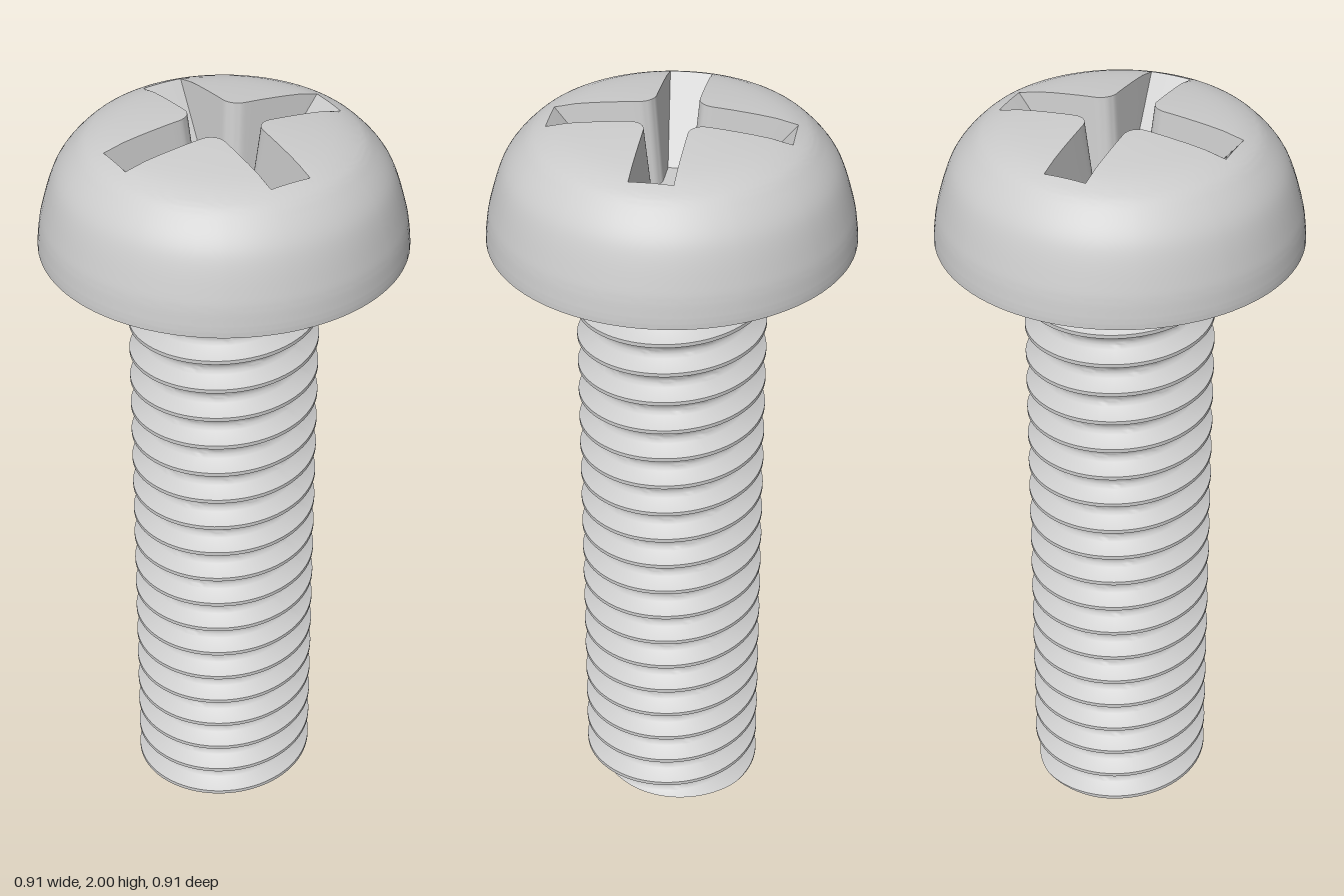
import * as THREE from 'three';
import { toCreasedNormals } from 'three/addons/utils/BufferGeometryUtils.js';

const HEAD_Y = 1.675;   // underside of the head
const MAJOR = 0.24;     // thread crest radius
const PITCH = 0.084;
const V = (x, y, z) => new THREE.Vector3(x, y, z);

// Joins successive rows of points into a creased surface
function loft(rows, crease) {
  const out = [];
  const area = new THREE.Triangle();
  const tri = (a, b, c) => {
    if (area.set(a, b, c).getArea() > 1e-9) for (const p of [a, b, c]) out.push(p.x, p.y, p.z);
  };
  for (let j = 0; j < rows.length - 1; j++) {
    const a = rows[j], b = rows[j + 1];
    for (let i = 0; i < a.length - 1; i++) {
      tri(a[i], a[i + 1], b[i]);
      tri(b[i], a[i + 1], b[i + 1]);
    }
  }
  const g = new THREE.BufferGeometry();
  g.setAttribute('position', new THREE.Float32BufferAttribute(out, 3));
  return toCreasedNormals(g, crease);
}

// Closed cross outline: arm length, arm half-width, filleted inner corners
function crossOutline(end, w) {
  const fillet = 0.04, c = w + fillet, half = [];
  for (let i = 0; i <= 3; i++) half.push([end, w * i / 3]);
  for (let i = 1; i <= 6; i++) half.push([end * Math.pow(c / end, i / 6), w]);
  for (let i = 1; i <= 4; i++) {
    const t = i / 4 * Math.PI / 4;
    half.push([c - fillet * Math.sin(t), c - fillet * Math.cos(t)]);
  }
  const quarter = [...half.slice(1, -1).reverse().map(([x, z]) => [x, -z]), ...half];
  const pts = [];
  for (let q = 0; q < 4; q++) {
    const cs = Math.round(Math.cos(q * Math.PI / 2)), sn = Math.round(Math.sin(q * Math.PI / 2));
    for (const [x, z] of quarter) pts.push([x * cs - z * sn, x * sn + z * cs]);
  }
  pts.push(pts[0]);
  return pts;
}

// Domed pan head with a tapered cross recess
function headGeometry() {
  const profile = new THREE.SplineCurve([
    [0, 2], [0.08, 1.999], [0.16, 1.992], [0.25, 1.98], [0.307, 1.965], [0.355, 1.936],
    [0.41, 1.868], [0.444, 1.768], [0.455, 1.705], [0.457, HEAD_Y],
  ].map(p => new THREE.Vector2(...p))).getPoints(72);
  const domeY = r => {
    const i = Math.max(1, profile.findIndex(p => p.x >= r));
    const a = profile[i - 1], b = profile[i];
    return a.y + (b.y - a.y) * (r - a.x) / (b.x - a.x);
  };
  const rim = crossOutline(0.298, 0.053);
  const floor = crossOutline(0.14, 0.033);
  const floorY = 1.78;
  const rows = [
    rim.map(() => V(0, floorY, 0)),
    floor.map(([x, z]) => V(x, floorY, z)),
  ];
  // crown, from the recess rim out to a circle
  const R = 0.325, steps = 8;
  for (let s = 0; s <= steps; s++) {
    rows.push(rim.map(([x, z]) => {
      const r0 = Math.hypot(x, z), r = r0 + (R - r0) * s / steps;
      return V(x / r0 * r, domeY(r), z / r0 * r);
    }));
  }
  // rounded shoulder, side and flat underside
  const circle = (r, y) => rim.map(([x, z]) => {
    const l = Math.hypot(x, z);
    return V(x / l * r, y, z / l * r);
  });
  const shoulder = profile.slice(profile.findIndex(p => p.x > R + 0.003));
  for (const p of shoulder) rows.push(circle(p.x, p.y));
  rows.push(circle(0, HEAD_Y));
  return loft(rows, 0.5);
}

// Shank with a helical groove that runs out just below the head
function shankGeometry() {
  const groove = [[0, 0.196], [0.008, 0.1975], [0.016, 0.204], [0.037, MAJOR]];
  const offsets = [0.037, 0.016, 0.008, 0, -0.008, -0.016, -0.037];
  const columns = 80, turns = 21;
  const grooveR = off => {
    const d = Math.abs(off);
    for (let i = 1; i < groove.length; i++) {
      const [d0, r0] = groove[i - 1], [d1, r1] = groove[i];
      if (d <= d1) return r0 + (r1 - r0) * (d - d0) / (d1 - d0);
    }
    return MAJOR;
  };
  // t is the fraction of a turn, 1 being where the groove ends
  const centreY = (t, k) => 1.628 + PITCH * (t - 1 - k);
  const runout = (t, k) => (k > 0 ? 1 : Math.sqrt(Math.min(1, (1 - t) / 0.08)));
  const point = (t, y) => {
    y = Math.min(HEAD_Y, Math.max(0, y));
    const k = Math.max(0, Math.round((centreY(t, 0) - y) / PITCH));
    const f = runout(t, k);
    const r = MAJOR - f * (MAJOR - grooveR((y - centreY(t, k)) / Math.max(f, 0.01)));
    const a = (125 / 360 + t) * Math.PI * 2;
    return V(r * Math.sin(a), y, r * Math.cos(a));
  };
  const row = fn => Array.from({ length: columns + 1 }, (_, i) => fn(1 - i / columns));
  const rows = [row(t => point(t, HEAD_Y))];
  for (let k = 0; k < turns; k++) {
    for (const off of offsets) rows.push(row(t => point(t, centreY(t, k) + off * runout(t, k))));
  }
  rows.push(row(t => point(t, 0)), row(() => V(0, 0, 0)));
  return loft(rows, 0.6);
}

export function createModel() {
  const group = new THREE.Group();
  group.name = 'screw';
  const material = new THREE.MeshStandardMaterial({ color: 0xcccccc });
  const add = (name, geometry) => {
    const mesh = new THREE.Mesh(geometry, material);
    mesh.name = name;
    group.add(mesh);
  };
  add('head', headGeometry());
  add('threadedShank', shankGeometry());
  return group;
}
